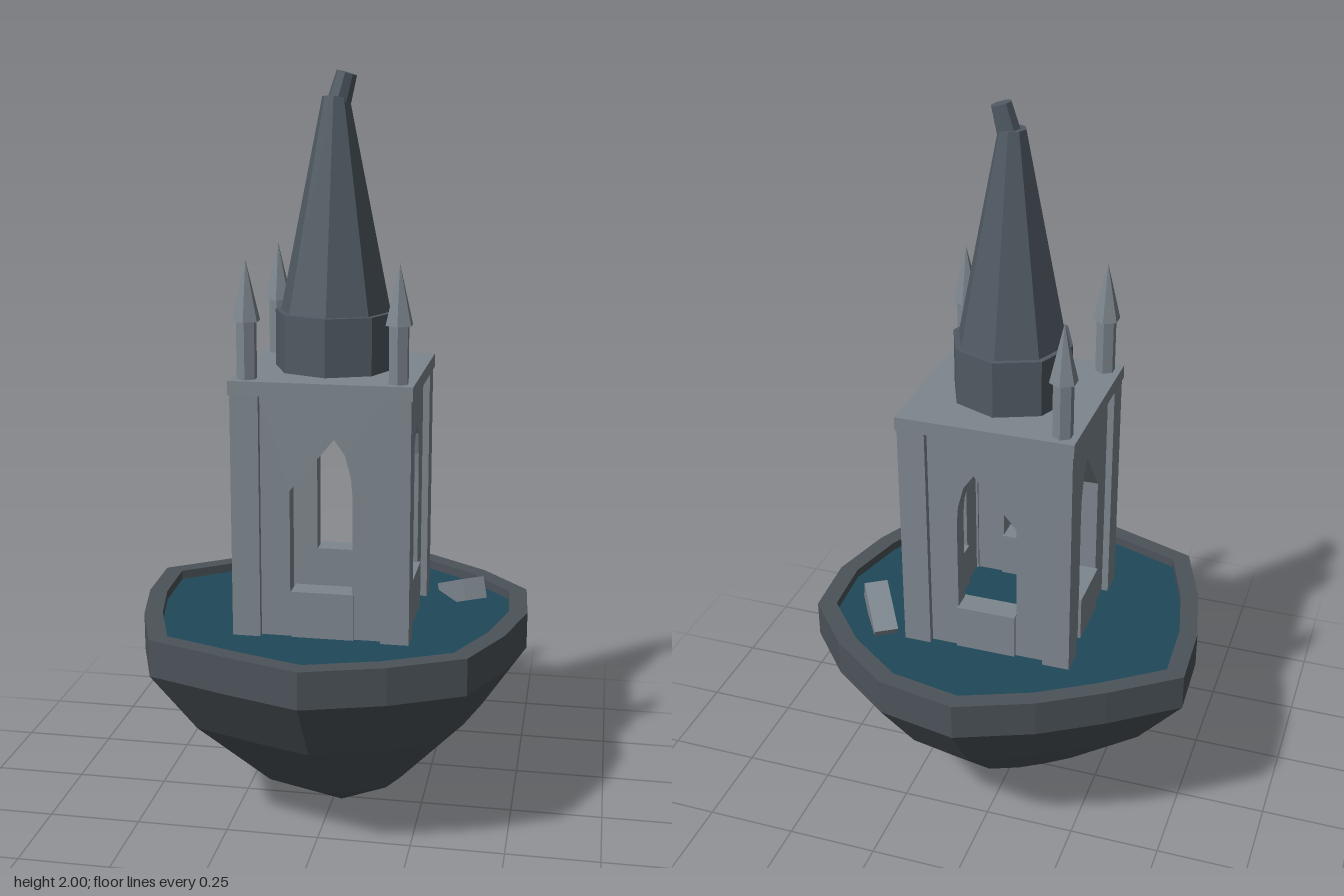
import * as THREE from 'three';

const stone = new THREE.MeshStandardMaterial({ color: 0x7d868e });
stone.name = 'pale stone';
const rock = new THREE.MeshStandardMaterial({ color: 0x4c5359 });
rock.name = 'dark rock';
const slate = new THREE.MeshStandardMaterial({ color: 0x505a63 });
slate.name = 'roof slate';
const water = new THREE.MeshStandardMaterial({ color: 0x1f4959 });
water.name = 'deep water';

// Outline of the island as x, z pairs, starting at the back
const OUTLINE = [
  [0, -0.515], [0.215, -0.475], [0.385, -0.35], [0.515, -0.2], [0.528, -0.01], [0.48, 0.175],
  [0.4, 0.35], [0.21, 0.447], [0, 0.513], [-0.2, 0.447], [-0.418, 0.367], [-0.487, 0.177],
  [-0.527, -0.01], [-0.535, -0.208], [-0.36, -0.335], [-0.2, -0.433],
];
const WATER_Y = 0.555;

function flat(geometry) {
  const g = geometry.index ? geometry.toNonIndexed() : geometry;
  g.computeVertexNormals();
  return g;
}

function add(parent, name, geometry, material, x = 0, y = 0, z = 0) {
  const mesh = new THREE.Mesh(geometry, material);
  mesh.name = name;
  mesh.position.set(x, y, z);
  parent.add(mesh);
  return mesh;
}

function box(parent, name, material, w, y0, y1, d, x = 0, z = 0) {
  return add(parent, name, new THREE.BoxGeometry(w, y1 - y0, d), material, x, (y0 + y1) / 2, z);
}

function prism(parent, name, material, rTop, rBottom, y0, y1, sides, x = 0, z = 0) {
  const g = flat(new THREE.CylinderGeometry(rTop, rBottom, y1 - y0, sides));
  return add(parent, name, g, material, x, (y0 + y1) / 2, z);
}

// Scaled copy of the outline, drifting towards the off-centre tip
function ring(scale, y, drift = 0) {
  return OUTLINE.map(([x, z]) => [x * scale + 0.025 * drift, y, z * scale + 0.016 * drift]);
}

// Faceted skin joining successive rings
function loft(rings) {
  const pos = [];
  for (let i = 0; i < rings.length - 1; i++) {
    const n = rings[i].length;
    for (let j = 0; j < n; j++) {
      const k = (j + 1) % n;
      const a = rings[i][j], b = rings[i][k], c = rings[i + 1][j], d = rings[i + 1][k];
      pos.push(...a, ...b, ...c, ...b, ...d, ...c);
    }
  }
  const g = new THREE.BufferGeometry();
  g.setAttribute('position', new THREE.Float32BufferAttribute(pos, 3));
  return flat(g);
}

// Wall panel with a lopsided pointed opening
function wallGeometry() {
  const shape = new THREE.Shape();
  shape.moveTo(-0.16, WATER_Y);
  shape.lineTo(0.16, WATER_Y);
  shape.lineTo(0.16, 1.2);
  shape.lineTo(-0.16, 1.2);
  shape.closePath();
  const hole = new THREE.Path();
  hole.moveTo(-0.082, 0.675);
  hole.lineTo(-0.082, 0.95);
  hole.lineTo(0.034, 1.09);
  hole.lineTo(0.062, 1.05);
  hole.lineTo(0.078, 0.99);
  hole.lineTo(0.082, 0.94);
  hole.lineTo(0.082, 0.675);
  hole.closePath();
  shape.holes.push(hole);
  const g = new THREE.ExtrudeGeometry(shape, { depth: 0.05, bevelEnabled: false });
  g.translate(0, 0, -0.025);
  return g;
}

export function createModel() {
  const model = new THREE.Group();
  model.name = 'floatingTower';

  // Island: rim, pointed underside and the pool held by the rim
  const island = new THREE.Group();
  island.name = 'island';
  model.add(island);
  add(island, 'rim', loft([ring(0.905, WATER_Y - 0.01), ring(0.905, 0.58), ring(1, 0.58), ring(1, 0.48)]), rock);
  const underside = [ring(1, 0.48), ring(0.77, 0.308, 0.2), ring(0.39, 0.11, 0.5), ring(0, 0, 1)];
  add(island, 'underside', loft(underside), rock);
  add(island, 'pool', loft([ring(0, WATER_Y), ring(0.905, WATER_Y)]), water);

  // Tower body
  const tower = new THREE.Group();
  tower.name = 'tower';
  tower.position.set(0.003, 0, -0.007);
  model.add(tower);
  for (const sx of [-1, 1]) {
    for (const sz of [-1, 1]) {
      box(tower, 'cornerPier', stone, 0.074, WATER_Y, 1.2, 0.074, sx * 0.196, sz * 0.196);
    }
  }
  const wall = wallGeometry();
  for (const turn of [0, Math.PI / 2]) {
    const pair = new THREE.Group();
    pair.name = 'wallPair';
    pair.rotation.y = turn;
    tower.add(pair);
    for (const side of [-1, 1]) {
      add(pair, 'archedWall', wall, stone, 0, 0, side * 0.19);
      box(pair, 'sill', stone, 0.164, WATER_Y, 0.68, 0.066, 0.004, side * 0.19);
    }
  }
  box(tower, 'roofSlab', stone, 0.474, 1.2, 1.237, 0.474);

  // Pinnacles on three corners, the fourth has fallen
  for (const [sx, sz] of [[-1, -1], [-1, 1], [1, 1]]) {
    const pinnacle = new THREE.Group();
    pinnacle.name = 'pinnacle';
    pinnacle.position.set(sx * 0.195, 0, sz * 0.195);
    tower.add(pinnacle);
    prism(pinnacle, 'pinnacleShaft', stone, 0.027, 0.027, 1.23, 1.385, 6);
    prism(pinnacle, 'pinnacleCap', stone, 0, 0.037, 1.385, 1.54, 6);
  }

  // Octagonal drum and spire with a bent tip
  prism(tower, 'spireDrum', slate, 0.161, 0.161, 1.23, 1.388, 8);
  prism(tower, 'spire', slate, 0.035, 0.146, 1.388, 1.935, 8);
  const tip = prism(tower, 'brokenTip', slate, 0.027, 0.031, 1.925, 1.994, 8, 0.019);
  tip.rotation.z = -0.27;

  // Fallen block leaning in the pool
  const block = add(model, 'fallenBlock', new THREE.BoxGeometry(0.065, 0.06, 0.165), stone, 0.335, 0.575, -0.175);
  block.rotation.set(-0.38, 0.57, 0, 'YXZ');

  return model;
}
